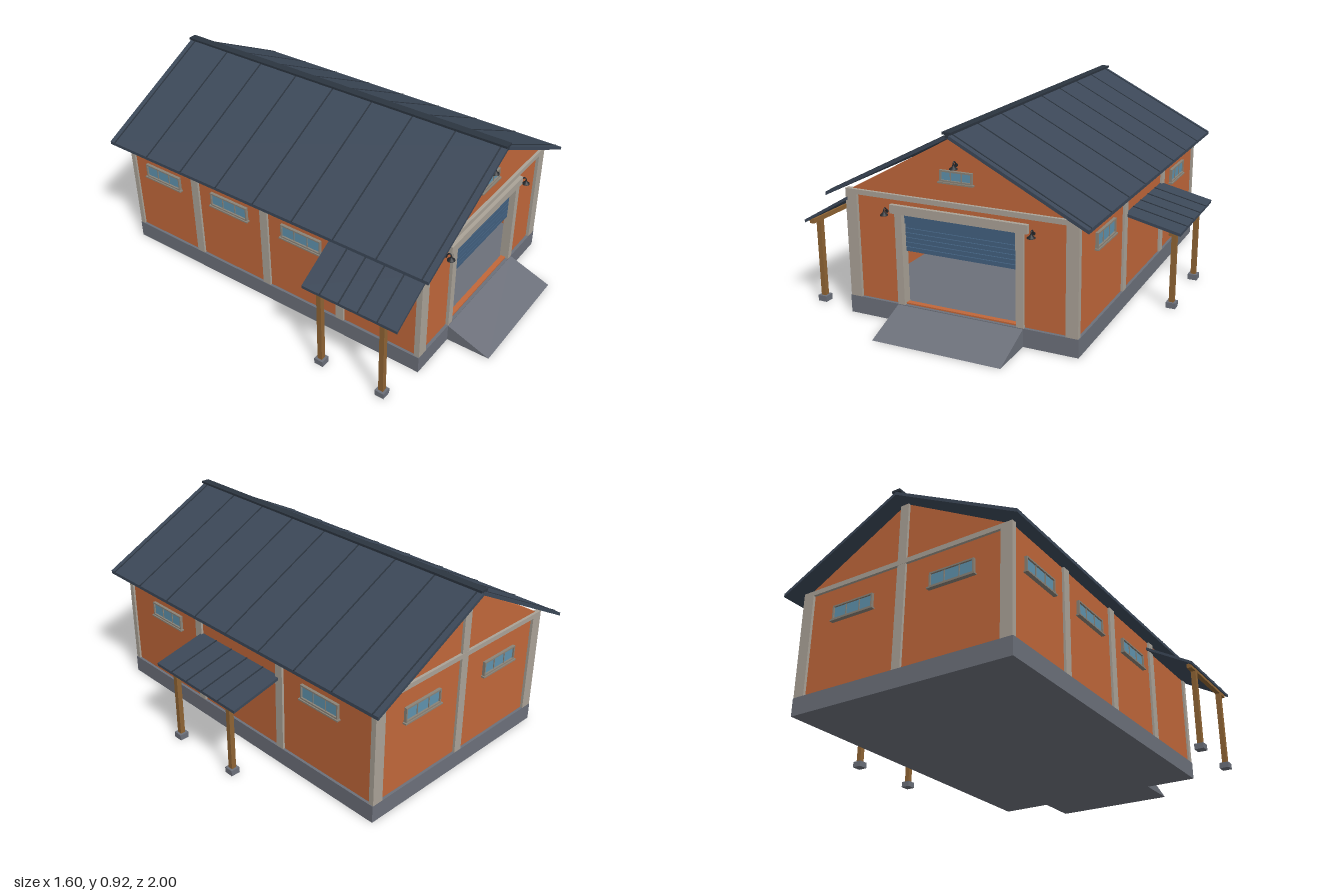
import * as THREE from 'three';

const mat = (color, extra = {}) => new THREE.MeshStandardMaterial({ color, ...extra });
const M = {
  wall: mat(0xc0673a), roof: mat(0x3c4858), roofTrim: mat(0x2c3540), concrete: mat(0x6c707a),
  trim: mat(0xaaa297), wood: mat(0x8f6434), glass: mat(0x5f92ad), shutter: mat(0x42607f),
  frame: mat(0x8a8378), lamp: mat(0x25282c, { side: THREE.DoubleSide }),
};

// Main dimensions
const CX = -0.015, X0 = -0.58, X1 = 0.55, Z0 = -0.935, Z1 = 0.785;
const FLOOR = 0.085, EAVE = 0.59, APEX = 0.892;

function add(parent, name, geo, material) {
  const mesh = new THREE.Mesh(geo, material);
  mesh.name = name;
  parent.add(mesh);
  return mesh;
}

// Box given by its minimum and maximum on each axis
function box(parent, name, material, x0, x1, y0, y1, z0, z1) {
  const mesh = add(parent, name, new THREE.BoxGeometry(x1 - x0, y1 - y0, z1 - z0), material);
  mesh.position.set((x0 + x1) / 2, (y0 + y1) / 2, (z0 + z1) / 2);
  return mesh;
}

const vec = (pts) => pts.map(([x, y]) => new THREE.Vector2(x, y));
const rect = (x0, x1, y0, y1) => [[x0, y0], [x1, y0], [x1, y1], [x0, y1]];

// Outline in x and y, extruded from z0 to z1
function prism(pts, z0, z1, hole) {
  const shape = new THREE.Shape(vec(pts));
  if (hole) shape.holes.push(new THREE.Path(vec(hole)));
  const geo = new THREE.ExtrudeGeometry(shape, { depth: z1 - z0, bevelEnabled: false });
  return geo.translate(0, 0, z0);
}

// Sloping sheet from (xa, ya) to (xb, yb) along its top, with standing seams
function slopedRoof(parent, name, xa, ya, xb, yb, z0, z1, t, seams) {
  const g = new THREE.Group();
  g.name = name;
  const quad = (lo, hi) => [[xa, ya + lo], [xb, yb + lo], [xb, yb + hi], [xa, ya + hi]];
  add(g, 'roofSheet', prism(quad(-t, 0), z0, z1), M.roof);
  for (const z of seams) add(g, 'roofSeam', prism(quad(-0.001, 0.003), z - 0.003, z + 0.003), M.roofTrim);
  parent.add(g);
}

// Three-pane window facing +z, centred on its own origin
function windowUnit(parent, w, h, x, y, z, turn) {
  const g = new THREE.Group();
  g.name = 'window';
  const b = 0.007;
  add(g, 'windowFrame', prism(rect(-w / 2, w / 2, -h / 2, h / 2), -0.004, 0.014,
    rect(-w / 2 + b, w / 2 - b, -h / 2 + b, h / 2 - b)), M.frame);
  box(g, 'windowGlass', M.glass, -w / 2 + b, w / 2 - b, -h / 2 + b, h / 2 - b, -0.004, 0.006);
  for (const s of [-1, 1]) {
    box(g, 'windowMullion', M.frame, s * w / 6 - 0.002, s * w / 6 + 0.002, -h / 2 + b, h / 2 - b, 0.004, 0.01);
  }
  box(g, 'windowSill', M.frame, -w / 2 - 0.007, w / 2 + 0.007, -h / 2 - 0.007, -h / 2, -0.004, 0.02);
  g.position.set(x, y, z);
  g.rotation.y = turn;
  parent.add(g);
}

// Wall lamp: plate, bent arm and conical shade
function wallLamp(parent, x, y) {
  const g = new THREE.Group();
  g.name = 'wallLamp';
  const plate = add(g, 'lampPlate', new THREE.CylinderGeometry(0.008, 0.008, 0.005, 12), M.lamp);
  plate.rotation.x = Math.PI / 2;
  const arm = new THREE.CatmullRomCurve3([[0, 0], [0.008, 0.014], [0.016, 0.019], [0.023, 0.015], [0.024, 0.002]]
    .map(([z, h]) => new THREE.Vector3(0, h, z)));
  add(g, 'lampArm', new THREE.TubeGeometry(arm, 14, 0.003, 6), M.lamp);
  const profile = vec([[0.004, 0.006], [0.006, 0], [0.018, -0.01], [0.018, -0.013]]);
  add(g, 'lampShade', new THREE.LatheGeometry(profile.reverse(), 16), M.lamp).position.z = 0.024;
  g.position.set(x, y, 0.773);
  parent.add(g);
}

// Lean-to canopy on two posts with footings and a beam
function canopy(parent, xa, ya, xb, yb, z0, z1, postX, postZ) {
  const g = new THREE.Group();
  g.name = 'canopy';
  const seams = [1, 2, 3, 4].map((i) => z0 + (z1 - z0) * i / 5);
  slopedRoof(g, 'canopyRoof', xa, ya, xb, yb, z0, z1, 0.014, seams);
  const top = ya + (yb - ya) * (postX - xa) / (xb - xa) - 0.013;
  box(g, 'canopyBeam', M.wood, postX - 0.012, postX + 0.012, top - 0.022, top, z0 + 0.02, z1 - 0.02);
  for (const z of postZ) {
    box(g, 'canopyPost', M.wood, postX - 0.012, postX + 0.012, 0.025, top - 0.02, z - 0.012, z + 0.012);
    box(g, 'postFooting', M.concrete, postX - 0.023, postX + 0.023, 0, 0.028, z - 0.023, z + 0.023);
  }
  parent.add(g);
}

export function createModel() {
  const root = new THREE.Group();
  root.name = 'garage';

  // Plinth and entrance ramp
  box(root, 'plinth', M.concrete, X0, X1, 0, FLOOR, Z0, Z1);
  const ramp = prism([[Z1 - 0.01, 0], [1, 0], [Z1, FLOOR - 0.003], [Z1 - 0.01, FLOOR - 0.003]], -0.295, 0.325);
  add(root, 'ramp', ramp.rotateY(-Math.PI / 2), M.concrete);

  // Walls, with the doorway cut out of the front gable
  const wx0 = X0 + 0.013, wx1 = X1 - 0.013;
  const gable = [[wx0, FLOOR], [wx1, FLOOR], [wx1, EAVE], [CX, APEX], [wx0, EAVE]];
  add(root, 'frontWall', prism(gable, 0.745, 0.77, rect(-0.3, 0.27, FLOOR + 0.007, 0.52)), M.wall);
  add(root, 'backWall', prism(gable, -0.922, -0.9), M.wall);
  box(root, 'sideWall', M.wall, wx0, wx0 + 0.022, FLOOR, EAVE, -0.9, 0.745);
  box(root, 'sideWall', M.wall, wx1 - 0.022, wx1, FLOOR, EAVE, -0.9, 0.745);

  // Corner columns and eave beams at both ends
  for (const [za, zb] of [[0.758, Z1], [Z0, Z0 + 0.025]]) {
    box(root, 'cornerColumn', M.trim, X0 + 0.003, X0 + 0.06, FLOOR, 0.578, za, zb);
    box(root, 'cornerColumn', M.trim, X1 - 0.06, X1 - 0.003, FLOOR, 0.578, za, zb);
    box(root, 'eaveBeam', M.trim, X0 + 0.003, X1 - 0.003, 0.576, 0.599, za, zb);
  }
  // Intermediate pilasters
  for (const z of [0.212, -0.357]) box(root, 'sidePilaster', M.trim, wx1 - 0.01, X1 - 0.002, FLOOR, EAVE, z - 0.022, z + 0.022);
  for (const z of [0.355, -0.075, -0.505]) box(root, 'sidePilaster', M.trim, X0 + 0.002, wx0 + 0.01, FLOOR, EAVE, z - 0.022, z + 0.022);
  box(root, 'backPilaster', M.trim, CX - 0.022, CX + 0.022, FLOOR, APEX - 0.012, Z0 + 0.001, -0.91);

  // Door frame
  box(root, 'doorJamb', M.trim, -0.325, -0.29, FLOOR, 0.515, 0.74, Z1);
  box(root, 'doorJamb', M.trim, 0.262, 0.297, FLOOR, 0.515, 0.74, Z1);
  box(root, 'doorLintel', M.trim, -0.347, 0.318, 0.512, 0.552, 0.74, Z1 + 0.004);

  // Half-raised roller shutter
  box(root, 'shutterBox', M.shutter, -0.292, 0.264, 0.465, 0.514, 0.735, 0.76);
  for (let i = 0; i < 6; i++) {
    const y = 0.335 + i * 0.022;
    add(root, 'shutterSlat', prism(rect(-0.29, 0.262, y, y + 0.019), 0.742, 0.754), M.shutter);
  }
  box(root, 'shutterBacking', M.roofTrim, -0.289, 0.261, 0.337, 0.47, 0.738, 0.745);

  // Windows on every side
  const q = Math.PI / 2;
  windowUnit(root, 0.155, 0.05, CX, 0.713, 0.77, 0);
  for (const z of [0.467, -0.61]) windowUnit(root, 0.225, 0.07, wx1, 0.45, z, q);
  for (const z of [0.14, -0.29, -0.72]) windowUnit(root, 0.225, 0.07, wx0, 0.45, z, -q);
  for (const s of [-1, 1]) windowUnit(root, 0.225, 0.07, CX + s * 0.265, 0.45, -0.922, Math.PI);

  // Lamps beside the door and above the gable window
  wallLamp(root, -0.37, 0.515);
  wallLamp(root, 0.34, 0.515);
  wallLamp(root, CX, 0.765);

  // Main roof with ridge cap
  const seams = Array.from({ length: 9 }, (_, i) => -0.97 + i * 0.223);
  for (const s of [-1, 1]) {
    slopedRoof(root, 'mainRoof', CX, 0.91, CX + s * 0.625, 0.59, -1, 0.845, 0.016, seams);
  }
  box(root, 'ridgeCap', M.roofTrim, CX - 0.021, CX + 0.021, 0.91, 0.921, -1, 0.848);
  box(root, 'ridgeWeb', M.roofTrim, CX - 0.008, CX + 0.008, 0.895, 0.912, -0.998, 0.846);

  // Side canopies
  canopy(root, wx1, 0.456, 0.8, 0.395, -0.353, 0.2, 0.752, [0.12, -0.262]);
  canopy(root, wx0, 0.56, -0.8, 0.424, 0.32, 0.805, -0.776, [0.4, 0.725]);

  // Prism outlines that run right to left come out inside-out, so flip them
  root.traverse((o) => {
    if (o.isMesh) o.castShadow = o.receiveShadow = true;
  });
  return root;
}
